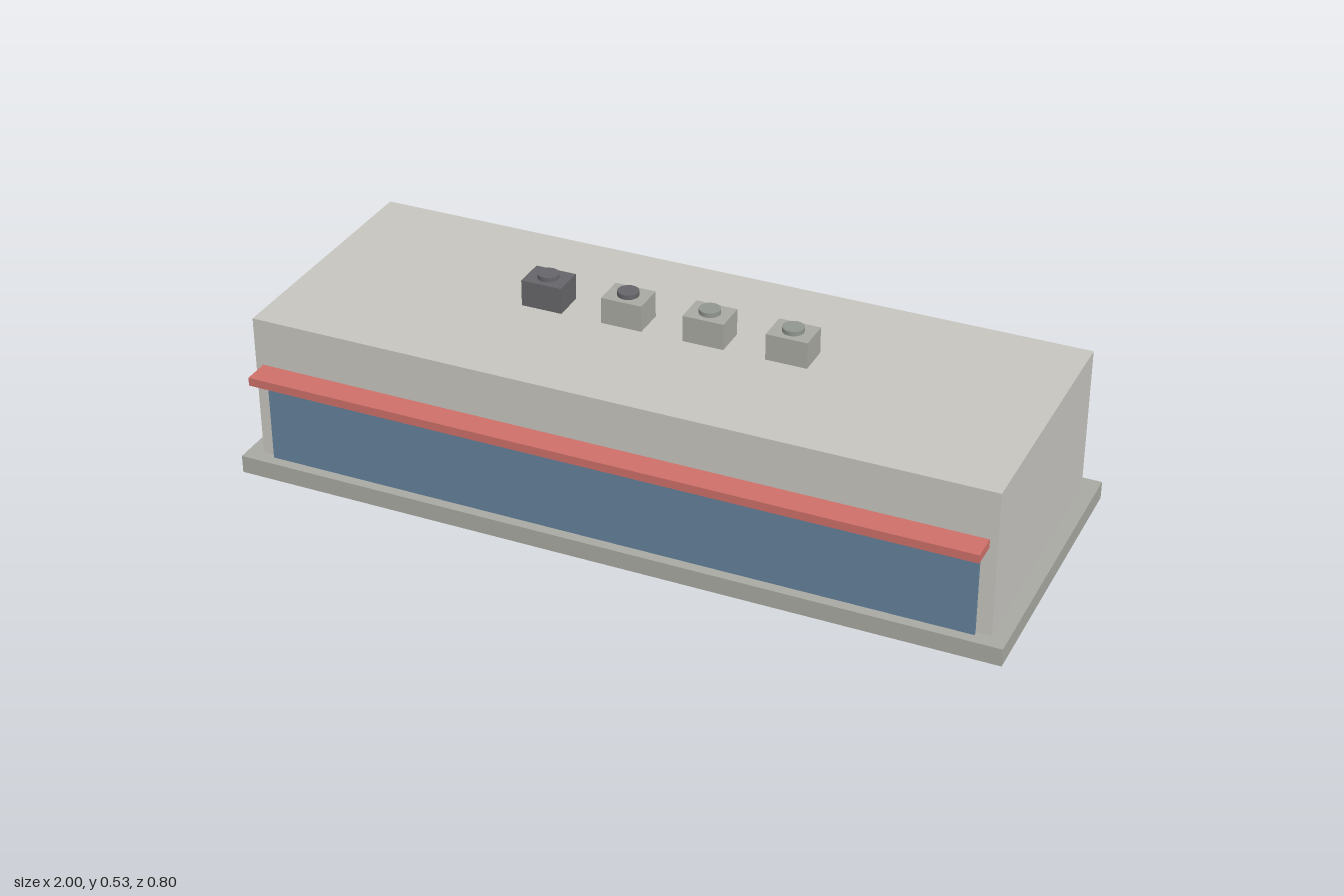
import * as THREE from 'three';

const mat = (color) => new THREE.MeshStandardMaterial({ color });

export function createModel() {
  const model = new THREE.Group();
  const wall = mat(0xc6c4be);
  const concrete = mat(0xa8a8a2);
  const dark = mat(0x66666a);
  const fanGrey = mat(0x90958f);
  const glass = mat(0x64809a);
  const red = mat(0xcc6f68);

  // Box given by its extents along each axis
  function box(name, material, [x0, x1], [y0, y1], [z0, z1], parent = model) {
    const mesh = new THREE.Mesh(new THREE.BoxGeometry(x1 - x0, y1 - y0, z1 - z0), material);
    mesh.position.set((x0 + x1) / 2, (y0 + y1) / 2, (z0 + z1) / 2);
    mesh.name = name;
    parent.add(mesh);
    return mesh;
  }

  // Building
  box('baseSlab', concrete, [-1, 1], [0, 0.047], [-0.4, 0.37]);
  box('buildingBody', wall, [-0.96, 0.96], [0.047, 0.431], [-0.36, 0.33]);

  // Shop front
  box('frontWindow', glass, [-0.923, 0.923], [0.047, 0.279], [0.335, 0.343]);
  box('awning', red, [-0.94, 0.94], [0.283, 0.305], [0.33, 0.4]);

  // Row of rooftop air conditioners, raised just above the roof
  const units = [
    [dark, dark],
    [concrete, dark],
    [concrete, fanGrey],
    [concrete, fanGrey],
  ];
  units.forEach(([caseMaterial, fanMaterial], i) => {
    const unit = new THREE.Group();
    unit.name = 'rooftopUnit' + (i + 1);
    unit.position.set((i - 1.5) * 0.215, 0.448, -0.015);
    box('unitCase', caseMaterial, [-0.0535, 0.0535], [0, 0.069], [-0.042, 0.042], unit);
    const fan = new THREE.Mesh(new THREE.CylinderGeometry(0.027, 0.027, 0.012, 24), fanMaterial);
    fan.name = 'unitFan';
    fan.position.y = 0.075;
    unit.add(fan);
    model.add(unit);
  });

  return model;
}
